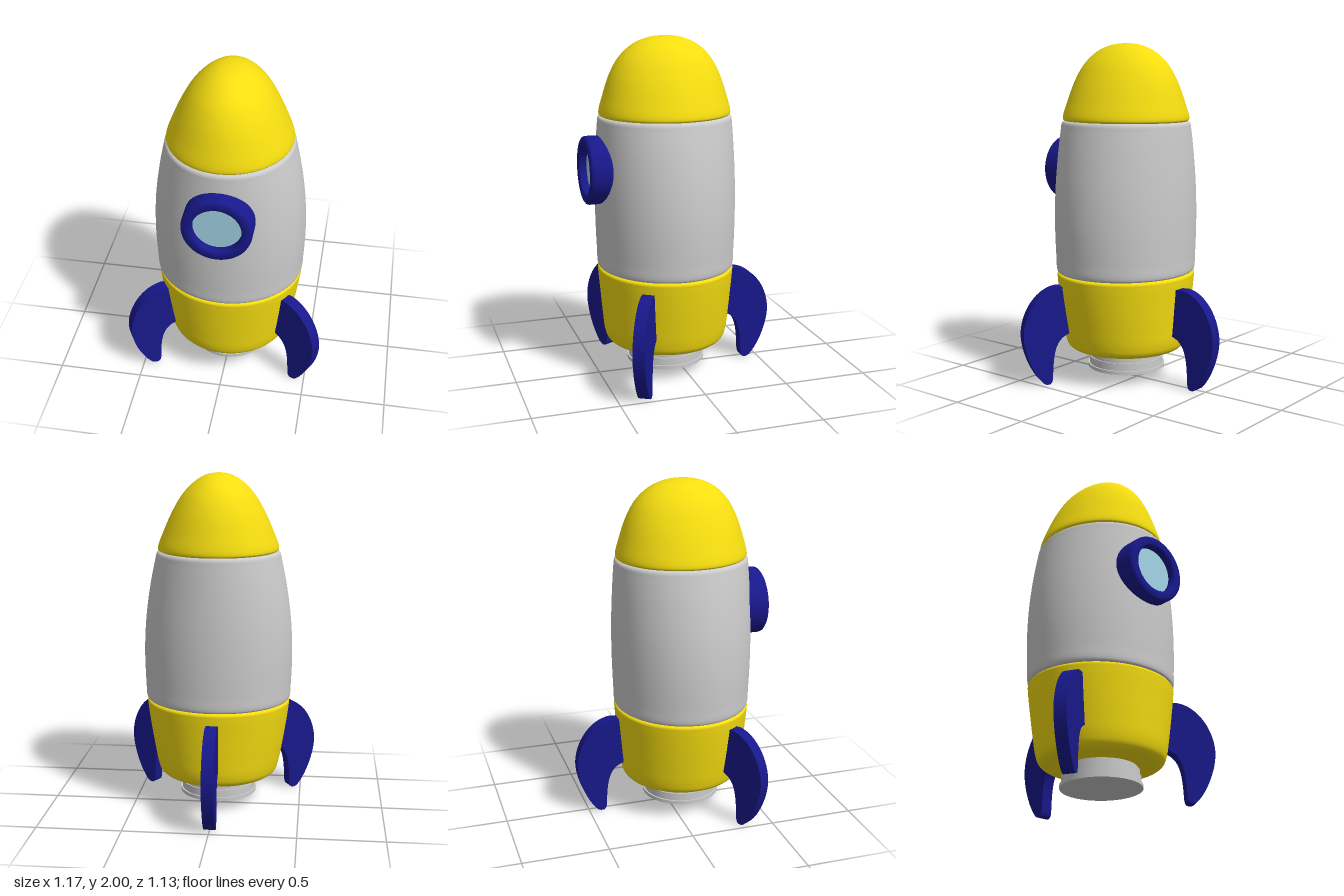
import * as THREE from 'three';
import { toCreasedNormals } from 'three/addons/utils/BufferGeometryUtils.js';

const AXIS_Z = 0.085; // the hull axis sits slightly forward of the origin
const mat = (color) => new THREE.MeshStandardMaterial({ color });
const yellow = mat(0xf5dd10);
const blue = mat(0x18188c);
const grey = mat(0xcccccc);
const glass = mat(0xa3d3e6);

function add(parent, name, geometry, material) {
  const mesh = new THREE.Mesh(geometry, material);
  mesh.name = name;
  parent.add(mesh);
  return mesh;
}

// Smooth closed skin through elliptical sections [y, radiusX, radiusZ], bottom to top
function loft(sections, steps = 64, sides = 72) {
  const curve = new THREE.CatmullRomCurve3(
    sections.map(([y, rx, rz]) => new THREE.Vector3(rx, y, rz)), false, 'centripetal');
  const pos = [], idx = [];
  for (let i = 0; i <= steps; i++) {
    const p = curve.getPoint(i / steps);
    for (let j = 0; j < sides; j++) {
      const t = (j / sides) * Math.PI * 2;
      pos.push(p.x * Math.cos(t), p.y, p.z * Math.sin(t));
    }
  }
  for (let i = 0; i < steps; i++) {
    for (let j = 0; j < sides; j++) {
      const a = i * sides + j, b = i * sides + (j + 1) % sides;
      idx.push(a, a + sides, b, b, a + sides, b + sides);
    }
  }
  const g = new THREE.BufferGeometry();
  g.setAttribute('position', new THREE.Float32BufferAttribute(pos, 3));
  g.setIndex(idx);
  g.computeVertexNormals();
  return g;
}

// Curved fin blade: x is the distance from the hull axis, y is height
function finGeometry(thickness) {
  const s = new THREE.Shape();
  s.moveTo(0.35, 0.31);
  s.lineTo(0.385, 0.585);
  s.lineTo(0.44, 0.588);
  s.bezierCurveTo(0.56, 0.575, 0.65, 0.44, 0.653, 0.31);
  s.bezierCurveTo(0.653, 0.2, 0.59, 0.07, 0.542, 0.02);
  s.quadraticCurveTo(0.525, 0, 0.5, 0.004);
  s.quadraticCurveTo(0.482, 0.006, 0.479, 0.04);
  s.bezierCurveTo(0.473, 0.2, 0.46, 0.28, 0.365, 0.305);
  const g = new THREE.ExtrudeGeometry(s, { depth: thickness, bevelEnabled: false, curveSegments: 20 });
  g.translate(0, 0, -thickness / 2);
  return toCreasedNormals(g, 0.6);
}

export function createModel() {
  const model = new THREE.Group();
  model.name = 'rocket';
  const hull = new THREE.Group();
  hull.name = 'hull';
  hull.position.z = AXIS_Z;
  model.add(hull);

  // Three hull stages with softly rounded rims at the seams
  add(hull, 'lowerStage', loft([
    [0.18, 0, 0], [0.18, 0.15, 0.15], [0.182, 0.27, 0.27], [0.192, 0.325, 0.323],
    [0.215, 0.354, 0.35], [0.26, 0.369, 0.365], [0.36, 0.388, 0.376], [0.5, 0.411, 0.388],
    [0.62, 0.427, 0.398], [0.643, 0.428, 0.398], [0.653, 0.418, 0.388], [0.654, 0.3, 0.3], [0.654, 0, 0],
  ], 96), yellow);
  add(hull, 'body', loft([
    [0.654, 0, 0], [0.654, 0.3, 0.3], [0.655, 0.415, 0.385], [0.666, 0.43, 0.397],
    [0.75, 0.437, 0.402], [0.95, 0.442, 0.408], [1.15, 0.431, 0.408], [1.35, 0.403, 0.401],
    [1.5, 0.372, 0.392], [1.535, 0.363, 0.388], [1.546, 0.35, 0.376], [1.547, 0.25, 0.26], [1.547, 0, 0],
  ], 96), grey);
  add(hull, 'nose', loft([
    [1.547, 0, 0], [1.547, 0.25, 0.26], [1.548, 0.345, 0.371], [1.56, 0.356, 0.382],
    [1.67, 0.318, 0.357], [1.79, 0.262, 0.316], [1.88, 0.206, 0.264], [1.95, 0.136, 0.187],
    [1.987, 0.07, 0.098], [2, 0, 0],
  ], 96), yellow);

  // Stepped engine nozzle: [radius, bottom, top]
  const nozzle = new THREE.Group();
  nozzle.name = 'nozzle';
  hull.add(nozzle);
  [[0.204, 0.125, 0.2], [0.215, 0.1, 0.165], [0.222, 0.082, 0.13], [0.231, 0.064, 0.085]].forEach(([r, y0, y1], i) => {
    add(nozzle, 'nozzleRing' + (i + 1), new THREE.CylinderGeometry(r, r, y1 - y0, 64), grey)
      .position.y = (y0 + y1) / 2;
  });

  // Three fins, one straight back and two swept forward
  const blade = finGeometry(0.07);
  [['backFin', Math.PI / 2], ['leftFin', -Math.PI / 6], ['rightFin', -Math.PI * 5 / 6]].forEach(([name, angle]) => {
    add(hull, name, blade, blue).rotation.y = angle;
  });

  // Porthole: thick rounded ring around a recessed pane
  const porthole = new THREE.Group();
  porthole.name = 'porthole';
  porthole.position.set(0, 1.245, 0);
  porthole.rotation.x = Math.PI / 2;
  model.add(porthole);
  const ringProfile = [
    [0.137, 0.4], [0.197, 0.4], [0.197, 0.548], [0.194, 0.559], [0.185, 0.566],
    [0.148, 0.566], [0.14, 0.562], [0.137, 0.554], [0.137, 0.4],
  ].map(([r, z]) => new THREE.Vector2(r, z));
  add(porthole, 'portholeRing', toCreasedNormals(new THREE.LatheGeometry(ringProfile, 64), 0.8), blue);
  add(porthole, 'portholeGlass', new THREE.CylinderGeometry(0.139, 0.139, 0.12, 48), glass).position.y = 0.46;

  return model;
}
